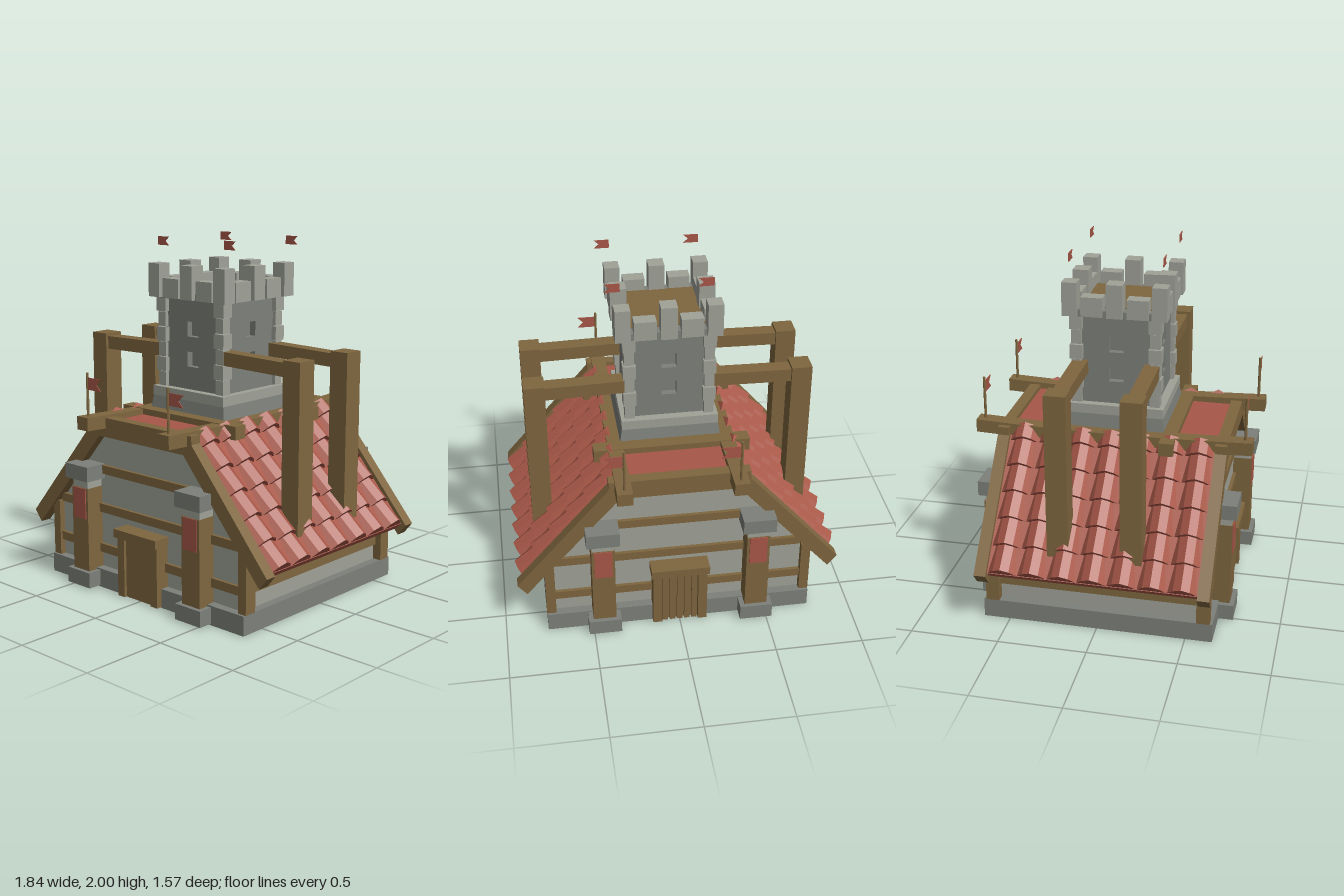
import * as THREE from 'three';

const mat = (name, color) => {
  const m = new THREE.MeshStandardMaterial({ color });
  m.name = name;
  m.flatShading = true;
  return m;
};

export function createModel() {
  const wood = mat('wood', 0x7f663f);
  const stone = mat('stone', 0x7d807a);
  const pale = mat('paleStone', 0xa0a298);
  const red = mat('redClay', 0xa75747);
  const root = new THREE.Group();
  root.name = 'tavernKeep';

  const add = (name, geo, m, parent = root) => {
    const mesh = new THREE.Mesh(geo, m);
    mesh.name = name;
    parent.add(mesh);
    return mesh;
  };
  // box given by its min and max on each axis
  const box = (name, m, x0, x1, y0, y1, z0, z1, parent = root) => {
    const mesh = add(name, new THREE.BoxGeometry(x1 - x0, y1 - y0, z1 - z0), m, parent);
    mesh.position.set((x0 + x1) / 2, (y0 + y1) / 2, (z0 + z1) / 2);
    return mesh;
  };
  const shape = (pts) => new THREE.Shape(pts.map(([x, y]) => new THREE.Vector2(x, y)));
  const slab = (name, m, sh, z0, z1, parent = root) => {
    const mesh = add(name, new THREE.ExtrudeGeometry(sh, { depth: z1 - z0, bevelEnabled: false }), m, parent);
    mesh.position.z = z0;
    return mesh;
  };
  const group = (name, angle = 0, parent = root) => {
    const g = new THREE.Group();
    g.name = name;
    g.rotation.y = angle;
    parent.add(g);
    return g;
  };

  // Plinth and plaster house body
  box('plinth', stone, -0.76, 0.76, 0, 0.11, -0.65, 0.65);
  slab('plasterWalls', pale, shape([[-0.71, 0.1], [0.71, 0.1], [0.71, 0.45], [0.34, 0.9], [-0.34, 0.9], [-0.71, 0.45]]), -0.6, 0.6);
  box('flatRoof', red, -0.35, 0.35, 0.9, 0.985, -0.585, 0.585);

  // Gable ends, front and back
  for (const [side, angle] of [['front', 0], ['back', Math.PI]]) {
    const g = group(side + 'Gable', angle);
    box('lowRail', wood, -0.72, 0.72, 0.2, 0.25, 0.59, 0.62, g);
    box('middleRail', wood, -0.7, 0.7, 0.44, 0.49, 0.59, 0.62, g);
    box('highRail', wood, -0.49, 0.49, 0.67, 0.72, 0.59, 0.62, g);
    box('topBeam', wood, -0.39, 0.39, 0.9, 1.01, 0.585, 0.65, g);
    for (const s of [-1, 1]) {
      box('cornerPost', wood, s * 0.735 - 0.027, s * 0.735 + 0.027, 0.11, 0.44, 0.56, 0.635, g);
      const pts = [[0.32, 0.91], [0.865, 0.285], [0.917, 0.35], [0.38, 0.975]].map(([x, y]) => [s * x, y]);
      slab('bargeBoard', wood, shape(pts), 0.583, 0.65, g);
      // buttress pillar with banner
      const x = s * 0.437;
      box('pillarFoot', stone, x - 0.093, x + 0.093, 0.01, 0.1, 0.59, 0.735, g);
      box('pillarShaft', wood, x - 0.065, x + 0.065, 0.1, 0.59, 0.59, 0.71, g);
      box('pillarNeck', pale, x - 0.062, x + 0.062, 0.59, 0.64, 0.59, 0.705, g);
      box('pillarCap', stone, x - 0.093, x + 0.093, 0.64, 0.726, 0.59, 0.735, g);
      box('banner', red, x - 0.05, x + 0.05, 0.41, 0.588, 0.71, 0.716, g);
      box('doorJamb', wood, s * 0.13 - 0.026, s * 0.13 + 0.026, 0.005, 0.36, 0.59, 0.685, g);
    }
    box('doorLintel', wood, -0.166, 0.166, 0.352, 0.4, 0.59, 0.705, g);
    box('doorPanel', wood, -0.105, 0.105, 0.005, 0.355, 0.59, 0.654, g);
    if (side === 'front') box('doorLeaf', wood, -0.105, 0.105, 0.005, 0.355, 0.64, 0.668, g);
    else for (let i = 0; i < 5; i++) {
      const x = -0.084 + i * 0.042;
      box('doorPlank', wood, x - 0.016, x + 0.016, 0.005, 0.352, 0.64, 0.672, g);
    }
  }

  // Arched roof tile, extruded along its length
  const tileShape = shape([[-0.083, -0.015], [0.083, -0.015], [0.083, 0], [0.045, 0.042], [0, 0.066], [-0.045, 0.042], [-0.083, 0]]);
  const tileGeo = (length) => new THREE.ExtrudeGeometry(tileShape, { depth: length, bevelEnabled: false }).translate(0, 0, -length);
  const longTile = tileGeo(0.15), topTile = tileGeo(0.09);
  const a = 40 * Math.PI / 180;
  const tileBasis = new THREE.Matrix4().makeBasis(
    new THREE.Vector3(0, 0, -1),
    new THREE.Vector3(Math.sin(a), Math.cos(a), 0),
    new THREE.Vector3(Math.cos(a), -Math.sin(a), 0));

  // Side slopes with tiles, hoist posts and side rails
  for (const [side, angle] of [['left', 0], ['right', Math.PI]]) {
    const g = group(side + 'Slope', angle);
    slab('roofDeck', red, shape([[0.33, 0.905], [0.85, 0.32], [0.885, 0.355], [0.365, 0.955]]), -0.585, 0.585, g);
    for (let row = 0; row < 6; row++) for (let col = -3; col <= 3; col++) {
      const tile = add('roofTile', row === 5 ? topTile : longTile, red, g);
      tile.quaternion.setFromRotationMatrix(tileBasis);
      tile.position.set(0.88 - row * 0.1, 0.355 + row * 0.115, col * 0.166);
    }
    box('sideRail', wood, 0.69, 0.725, 0.2, 0.25, -0.6, 0.6, g);
    for (const s of [-1, 1]) {
      const z = s * 0.203;
      box('tallPost', wood, 0.685, 0.8, 0.34, 1.4, z - 0.06, z + 0.06, g);
      const beam = box('towerBeam', wood, 0.2, 0.7, 1.312, 1.388, z - 0.043, z + 0.043, g);
      beam.rotation.z = -0.02;
    }
  }

  // Roof-top frame: gently bowed long beams and straight cross beams
  const bowed = new THREE.BoxGeometry(0.085, 0.075, 1.57, 1, 1, 6);
  const p = bowed.attributes.position;
  for (let i = 0; i < p.count; i++) p.setY(i, p.getY(i) + 0.018 * (p.getZ(i) / 0.785) ** 2);
  bowed.computeVertexNormals();

  // Swallow-tailed flag starting at its pole
  const flagShape = (w, h) => shape([[0, 0], [w, 0], [w * 0.68, h / 2], [w, h], [0, h]]);
  const flag = (x, y, z, w, h) => {
    slab('flag', red, flagShape(w, h), z - 0.002, z + 0.002).position.set(x, y, z - 0.002);
  };
  for (const sx of [-1, 1]) {
    add('longBeam', bowed, wood).position.set(sx * 0.316, 0.975, 0);
    box('crossBeam', wood, -0.44, 0.44, 0.945, 1.02, sx * 0.32 - 0.04, sx * 0.32 + 0.04);
    for (const sz of [-1, 1]) {
      const pole = add('flagPole', new THREE.CylinderGeometry(0.008, 0.008, 0.26, 6), wood);
      pole.position.set(sx * 0.314, 1.145, sz * 0.742);
      flag(sx * 0.314, 1.18, sz * 0.742, 0.11, 0.068);
      flag(sx * 0.25 + 0.015, 1.952, sz * 0.26, 0.083, 0.048);
    }
  }

  // Tower foot: tapered course and pale course
  const foot = add('towerFoot', new THREE.CylinderGeometry(0.272 * Math.SQRT2, 0.29 * Math.SQRT2, 0.12, 4).rotateY(Math.PI / 4), stone);
  foot.position.y = 1.03;
  box('footCourse', pale, -0.272, 0.272, 1.09, 1.145, -0.275, 0.275);
  box('towerCore', stone, -0.19, 0.19, 1.1, 1.66, -0.19, 0.19);

  // Tower walls with recessed windows, and the battlement on each side
  const wall = shape([[-0.225, 1.14], [0.225, 1.14], [0.225, 1.66], [-0.225, 1.66]]);
  for (const y of [1.275, 1.447]) {
    wall.holes.push(new THREE.Path([[-0.042, y], [-0.042, y + 0.085], [0.042, y + 0.085], [0.042, y]].map((q) => new THREE.Vector2(...q))));
  }
  const top = group('battlement');
  top.position.x = 0.007;
  for (let k = 0; k < 4; k++) {
    const angle = k * Math.PI / 2;
    slab('towerWall', stone, wall, 0.188, 0.228, group('towerSide', angle));
    const g = group('battlementSide', angle, top);
    box('cornerMerlon', pale, 0.208, 0.292, 1.66, 1.85, 0.208, 0.292, g);
    box('middleMerlon', pale, -0.045, 0.045, 1.66, 1.85, 0.2, 0.29, g);
    for (const s of [-1, 1]) box('lowMerlon', pale, s * 0.128 - 0.061, s * 0.128 + 0.061, 1.66, 1.77, 0.205, 0.283, g);
    // corner stones of alternating size
    for (let i = 0; i < 6; i++) {
      const r = i % 2 ? 0.036 : 0.028;
      box('quoin', pale, 0.222 - r, 0.222 + r, 1.147 + i * 0.086, 1.229 + i * 0.086, 0.222 - r, 0.222 + r, group('towerCorner', angle));
    }
  }
  box('parapet', stone, -0.265, 0.265, 1.655, 1.695, -0.265, 0.265);
  box('towerFloor', wood, -0.205, 0.205, 1.69, 1.702, -0.205, 0.205);

  return root;
}
